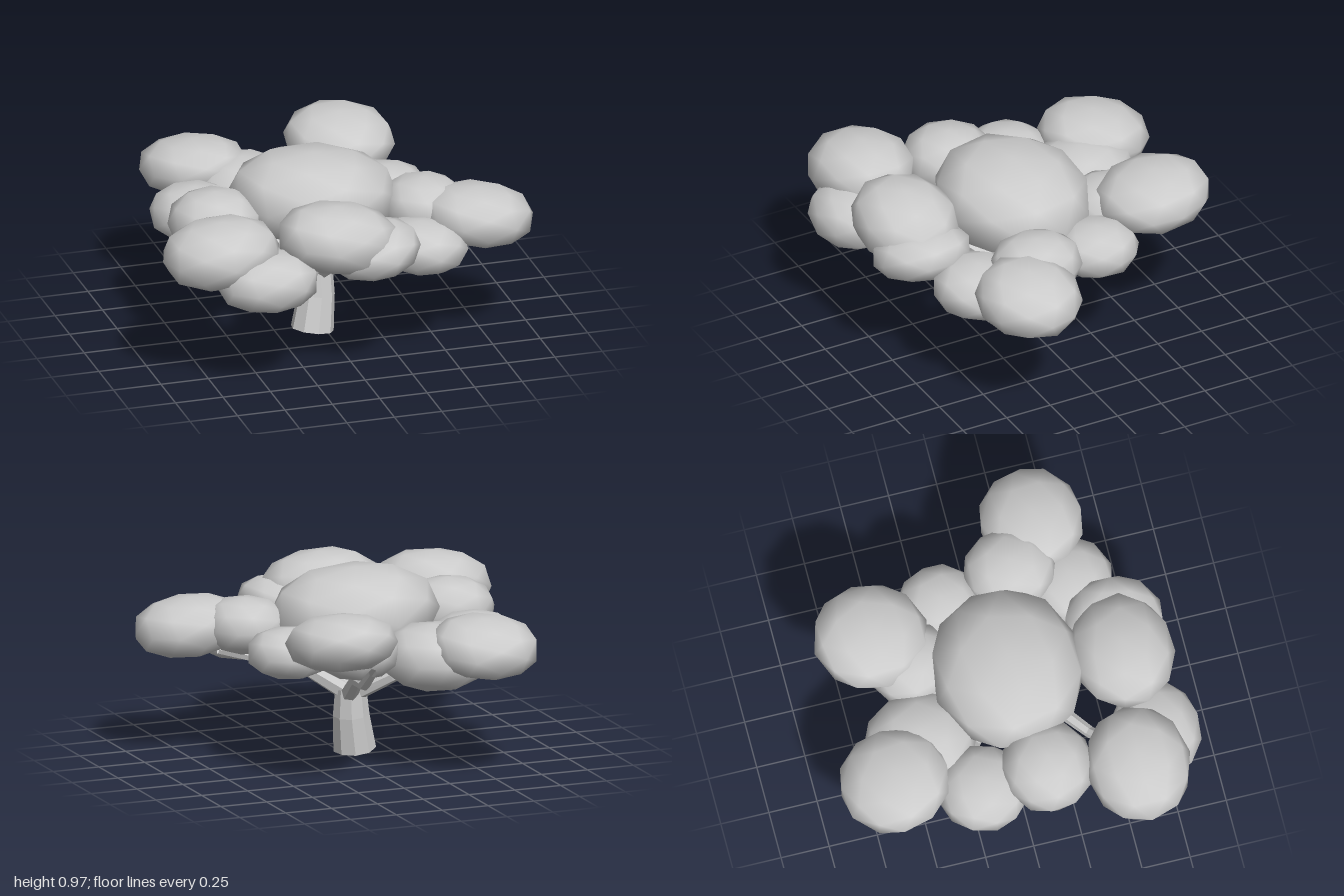
import * as THREE from 'three';
import { mergeVertices } from 'three/addons/utils/BufferGeometryUtils.js';

// Flat-shaded open limb: rings of `sides` points swept along a path of [x, y, z, radius]
function limb(path, sides) {
  const centers = path.map(p => new THREE.Vector3(p[0], p[1], p[2]));
  const pos = [], idx = [], n = path.length;
  const up = new THREE.Vector3(0, 1, 0);
  centers.forEach((c, i) => {
    const dir = centers[Math.min(i + 1, n - 1)].clone().sub(centers[Math.max(i - 1, 0)]).normalize();
    const q = new THREE.Quaternion().setFromUnitVectors(up, dir);
    for (let j = 0; j < sides; j++) {
      const a = j / sides * Math.PI * 2;
      const v = new THREE.Vector3(Math.sin(a), 0, Math.cos(a)).multiplyScalar(path[i][3]).applyQuaternion(q).add(c);
      pos.push(v.x, Math.max(0, v.y), v.z);
    }
  });
  for (let i = 0; i < n - 1; i++) {
    for (let j = 0; j < sides; j++) {
      const k = (j + 1) % sides;
      const a = i * sides + j, b = i * sides + k, c = a + sides, d = b + sides;
      idx.push(a, b, d, a, d, c);
    }
  }
  const g = new THREE.BufferGeometry();
  g.setAttribute('position', new THREE.Float32BufferAttribute(pos, 3));
  g.setIndex(idx);
  const flat = g.toNonIndexed();
  flat.computeVertexNormals();
  return flat;
}

// Smooth low-poly ball with fuller shoulders, flattened to the given radii
// and sheared so that it rises by tiltX along x and tiltZ along z
function clump(rx, ry, rz, turn, tiltX, tiltZ) {
  const ball = new THREE.IcosahedronGeometry(1, 1);
  ball.deleteAttribute('normal');
  ball.deleteAttribute('uv');
  const g = mergeVertices(ball, 1e-3);
  g.rotateY(turn);
  const p = g.attributes.position;
  for (let i = 0; i < p.count; i++) {
    const x = p.getX(i) * rx, y = p.getY(i), z = p.getZ(i) * rz;
    p.setXYZ(i, x, Math.sign(y) * Math.abs(y) ** 0.8 * ry + tiltX * x + tiltZ * z, z);
  }
  g.computeVertexNormals();
  return g;
}

export function createModel() {
  const grey = new THREE.MeshStandardMaterial({ color: 0xcccccc, side: THREE.DoubleSide });
  grey.name = 'pale grey';
  const tree = new THREE.Group();
  tree.name = 'spreadingTree';

  const add = (name, geometry, parent) => {
    const m = new THREE.Mesh(geometry, grey);
    m.name = name;
    parent.add(m);
    return m;
  };

  // Trunk, leaning slightly towards its crown
  add('trunk', limb([
    [-0.07, 0.015, 0.07, 0.11],
    [-0.042, 0.2, 0.05, 0.094],
    [-0.037, 0.34, 0.043, 0.08],
  ], 9), tree);

  // Branches fanning out from the trunk top
  const branches = new THREE.Group();
  branches.name = 'branches';
  tree.add(branches);
  const paths = [
    [[-0.02, 0.31, 0.02, 0.045], [0.06, 0.46, -0.27, 0.035], [0.13, 0.5, -0.54, 0.03], [0.15, 0.6, -0.7, 0.022]],
    [[-0.02, 0.31, 0.05, 0.045], [0.22, 0.47, 0.11, 0.035], [0.42, 0.51, 0.16, 0.03], [0.62, 0.56, 0.2, 0.022]],
    [[-0.05, 0.31, 0.06, 0.045], [-0.25, 0.47, 0.27, 0.035], [-0.4, 0.49, 0.38, 0.03], [-0.55, 0.6, 0.5, 0.022]],
    [[-0.03, 0.31, 0.06, 0.042], [0.02, 0.46, 0.26, 0.034], [0.12, 0.5, 0.43, 0.028], [0.16, 0.6, 0.56, 0.022]],
    [[-0.05, 0.31, 0.02, 0.042], [-0.2, 0.42, -0.12, 0.034], [-0.32, 0.48, -0.2, 0.028], [-0.45, 0.6, -0.26, 0.022]],
  ];
  paths.forEach((p, i) => add('branch' + (i + 1), limb(p, 6), branches));

  // Foliage clumps: [x, y, z, rx, ry, rz, turn, tiltX, tiltZ]
  const foliage = new THREE.Group();
  foliage.name = 'foliage';
  tree.add(foliage);
  const clumps = [
    [-0.055, 0.735, 0.035, 0.437, 0.23, 0.392, 0.2, -0.04, 0.02],
    [-0.475, 0.67, -0.655, 0.28, 0.143, 0.285, 0.5, 0, 0.1],
    [0.275, 0.745, -0.59, 0.283, 0.146, 0.3, 0.1, 0, -0.08],
    [-0.275, 0.595, -0.47, 0.265, 0.168, 0.29, 0.9, 0, 0],
    [0.12, 0.65, -0.42, 0.22, 0.145, 0.23, 0.3, 0, 0],
    [0.4, 0.615, -0.2, 0.215, 0.127, 0.22, 0.7, 0, 0],
    [-0.6, 0.6, -0.225, 0.23, 0.14, 0.235, 1.1, 0, 0],
    [-0.595, 0.685, 0.11, 0.242, 0.16, 0.24, 0.4, 0, 0],
    [-0.7, 0.705, 0.555, 0.305, 0.167, 0.27, 0.0, 0.05, 0],
    [-0.5, 0.585, 0.7, 0.265, 0.146, 0.228, 0.6, 0, 0],
    [-0.105, 0.74, 0.62, 0.313, 0.17, 0.268, 0.8, -0.08, 0],
    [0.08, 0.66, 0.628, 0.238, 0.13, 0.26, 0.25, 0.12, 0],
    [0.715, 0.66, 0.355, 0.287, 0.148, 0.268, 0.5, -0.08, 0],
    [0.48, 0.68, 0.185, 0.22, 0.142, 0.24, 1.0, 0, 0],
    [0.385, 0.575, 0.465, 0.238, 0.133, 0.235, 0.15, -0.05, 0],
  ];
  clumps.forEach(([x, y, z, ...shape], i) => {
    add(i === 0 ? 'crownClump' : 'leafClump' + i, clump(...shape), foliage).position.set(x, y, z);
  });

  return tree;
}
